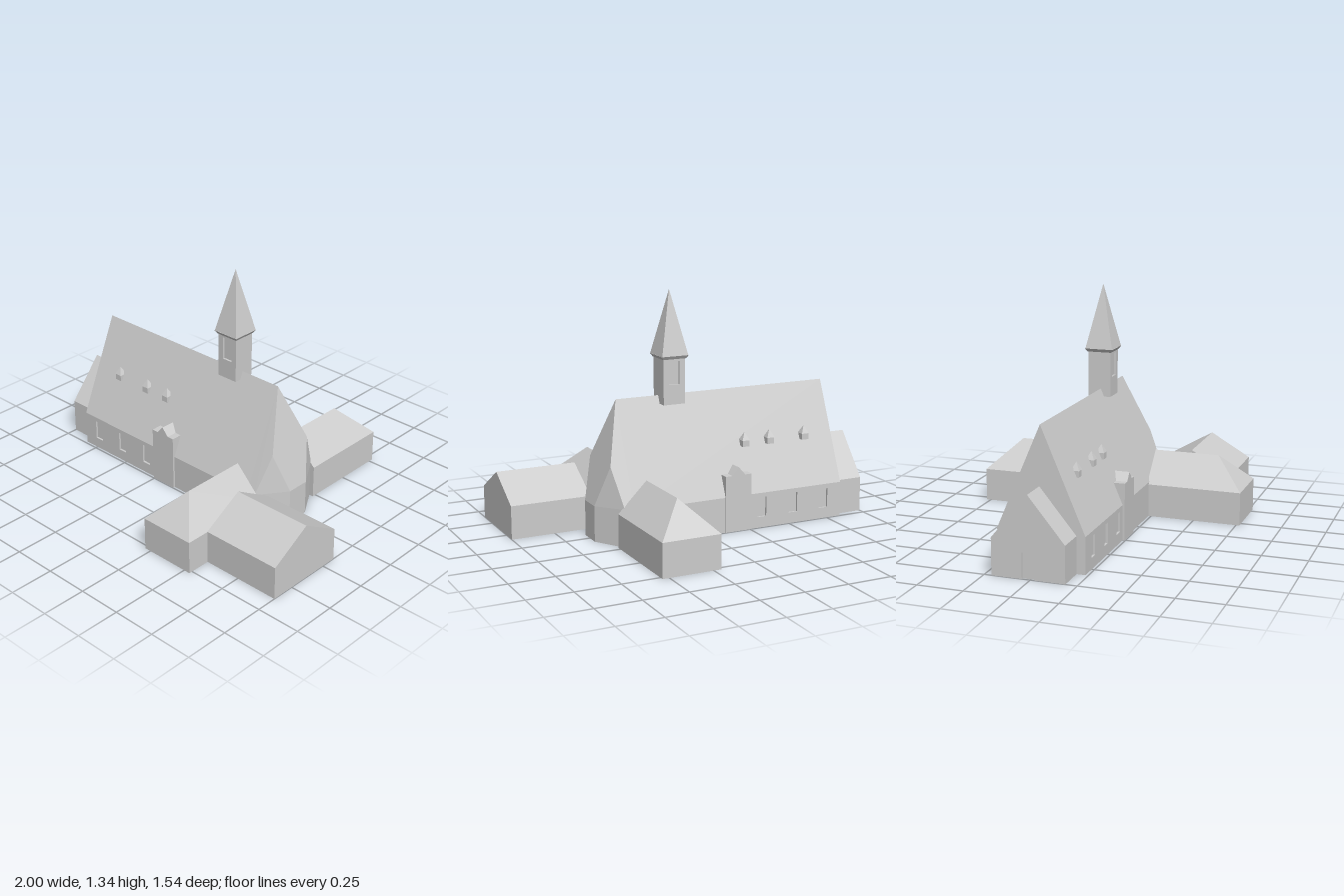
import * as THREE from 'three';
import { ConvexGeometry } from 'three/addons/geometries/ConvexGeometry.js';

const stone = new THREE.MeshStandardMaterial({ color: 0xcccccc, flatShading: true });
stone.name = 'palePlaster';
const CZ = -0.005; // z of the nave ridge
const RECESS = 0.012;

export function createModel() {
  const model = new THREE.Group();
  model.name = 'church';

  const add = (name, geometry, parent = model) => {
    const mesh = new THREE.Mesh(geometry, stone);
    mesh.name = name;
    parent.add(mesh);
    return mesh;
  };
  const box = (x0, x1, y0, y1, z0, z1) =>
    new THREE.BoxGeometry(x1 - x0, y1 - y0, z1 - z0)
      .translate((x0 + x1) / 2, (y0 + y1) / 2, (z0 + z1) / 2);
  const shapeOf = (pts, holes = []) => {
    const shape = new THREE.Shape(pts.map(p => new THREE.Vector2(...p)));
    for (const [a0, a1, b0, b1] of holes) {
      shape.holes.push(new THREE.Path([[a0, b0], [a0, b1], [a1, b1], [a1, b0]].map(p => new THREE.Vector2(...p))));
    }
    return shape;
  };
  const extrude = (shape, depth) => new THREE.ExtrudeGeometry(shape, { depth, bevelEnabled: false });
  // Prism with a (z, y) section running from x0 to x1
  const prismX = (shape, x0, x1) => extrude(shape, x1 - x0).rotateY(-Math.PI / 2).translate(x1, 0, 0);
  const hull = pts => new ConvexGeometry(pts.map(p => new THREE.Vector3(...p)));
  const rect = (x0, x1, y0, y1) => [[x0, y0], [x1, y0], [x1, y1], [x0, y1]];
  const gable = (z0, z1, eave, ridge, zr = (z0 + z1) / 2) => [[z0, 0], [z1, 0], [z1, eave], [zr, ridge], [z0, eave]];
  // Square frustum of half-widths top and bottom
  const frustum = (top, bottom, y0, y1) =>
    new THREE.CylinderGeometry(top * Math.SQRT2, bottom * Math.SQRT2, y1 - y0, 4)
      .rotateY(Math.PI / 4).translate(0, (y0 + y1) / 2, 0);

  // Nave with steep roof; the lower core is set back behind the window walls
  const H = 0.24, inner = H - RECESS;
  add('nave', prismX(shapeOf([
    [CZ - inner, 0], [CZ + inner, 0], [CZ + inner, 0.2], [CZ + H, 0.2],
    [CZ, 0.76], [CZ - H, 0.2], [CZ - inner, 0.2]]), -0.84, 0.45));
  const windows = [-0.727, -0.527, -0.327].map(x => [x - 0.028, x + 0.028, 0.062, 0.175]);
  for (const z of [CZ + inner, CZ - H]) {
    add('naveWindowWall', extrude(shapeOf(rect(-0.84, 0.45, 0, 0.2), windows), RECESS).translate(0, 0, z));
  }

  // Three-sided apse with hipped roof
  const apse = [[0.45, 0.76, CZ]];
  for (const s of [-1, 1]) {
    apse.push(
      [0.45, 0, CZ + s * H], [0.45, 0.2, CZ + s * H],
      [0.505, 0, CZ + s * 0.236], [0.505, 0.21, CZ + s * 0.236],
      [0.61, 0, CZ + s * 0.066], [0.61, 0.2, CZ + s * 0.066],
      [0.545, 0.428, CZ + s * 0.142]);
  }
  add('apse', hull(apse));

  // West porch with a recessed door
  const porch = gable(-0.21, 0.187, 0.2, 0.44);
  add('westPorch', prismX(shapeOf(porch), -1 + RECESS, -0.84));
  const doorWall = [[-0.21, 0], [-0.045, 0], [-0.045, 0.14], [0.022, 0.14], [0.022, 0], [0.187, 0], [0.187, 0.2], [-0.0115, 0.44], [-0.21, 0.2]];
  add('westDoorWall', prismX(shapeOf(doorWall), -1, -1 + RECESS));

  // Hipped wings to the front and back
  const wing = (name, x0, zIn, zHip, zOut) => {
    const pts = [];
    for (const x of [x0, 0.538]) for (const y of [0, 0.188]) for (const z of [zIn, zOut]) pts.push([x, y, z]);
    const xr = (x0 + 0.538) / 2;
    pts.push([xr, 0.353, zIn], [xr, 0.353, zHip]);
    add(name, hull(pts));
  };
  wing('frontWing', 0.212, 0.225, 0.6, 0.77);
  wing('backWing', 0.207, -0.228, -0.603, -0.775);
  add('eastWing', prismX(shapeOf(gable(0.163, 0.633, 0.188, 0.325)), 0.536, 1));

  // Gabled wall piers and roof dormers on both long sides
  for (const s of [1, -1]) {
    const side = s > 0 ? 'front' : 'back';
    const outline = [[-0.257, 0], [-0.097, 0], [-0.097, 0.32], [-0.137, 0.32], [-0.177, 0.365], [-0.217, 0.32], [-0.257, 0.32]];
    add(side + 'Pier', extrude(shapeOf(outline), 0.085).translate(0, 0, s > 0 ? 0.162 : -0.249));
    for (const x of [-0.65, -0.425, -0.267]) {
      const dormer = new THREE.Group();
      dormer.name = side + 'Dormer';
      dormer.position.set(x, 0, CZ - 0.008 + s * 0.13);
      add('dormerBody', box(-0.021, 0.021, 0.453, 0.49, -0.021, 0.021), dormer);
      add('dormerCap', frustum(0, 0.023, 0.488, 0.533), dormer);
      model.add(dormer);
    }
  }

  // Bell tower with recessed openings, cornice and spire
  const tower = new THREE.Group();
  tower.name = 'bellTower';
  tower.position.set(0.133, 0, -0.013);
  const T = 0.064;
  add('towerCore', box(-T, T, 0.715, 0.968, -T + RECESS, T - RECESS), tower);
  for (const z of [T - RECESS, -T]) {
    add('towerWindowWall', extrude(shapeOf(rect(-T, T, 0.715, 0.968), [[-0.031, 0.031, 0.825, 0.953]]), RECESS).translate(0, 0, z), tower);
  }
  add('cornice', frustum(0.08, 0.068, 0.966, 0.984), tower);
  add('spire', frustum(0, 0.078, 0.984, 1.34), tower);
  model.add(tower);

  return model;
}
